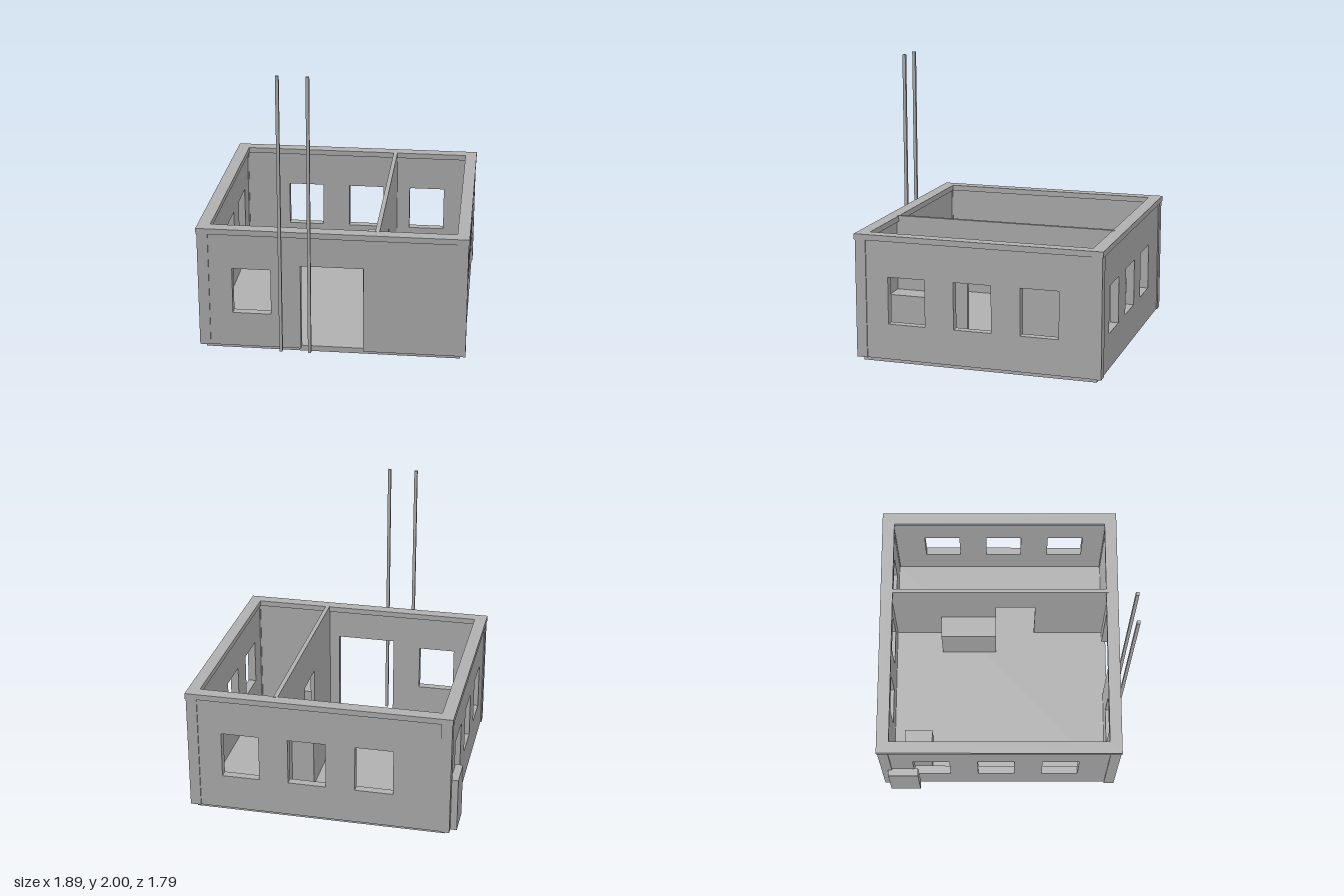
import * as THREE from 'three';

const grey = new THREE.MeshStandardMaterial({ color: 0xb0b0b0 });
grey.name = 'plain grey';

export function createModel() {
  const model = new THREE.Group();
  model.name = 'openRoofBuilding';

  const add = (name, geometry) => {
    const mesh = new THREE.Mesh(geometry, grey);
    mesh.name = name;
    model.add(mesh);
  };

  // Box given by its limits on each axis
  const box = (name, x0, x1, y0, y1, z0, z1) => {
    const g = new THREE.BoxGeometry(x1 - x0, y1 - y0, z1 - z0);
    add(name, g.translate((x0 + x1) / 2, (y0 + y1) / 2, (z0 + z1) / 2));
  };

  const rect = (Type, x0, x1, y0, y1) => new Type().moveTo(x0, y0) &&
    new Type([[x0, y0], [x1, y0], [x1, y1], [x0, y1]].map(p => new THREE.Vector2(...p)));

  // Upright panel along u, with window openings and an optional doorway [u0, u1, top]
  const panel = (u0, u1, y0, y1, depth, windows, door) => {
    const pts = [[u0, y0]];
    if (door) pts.push([door[0], y0], [door[0], door[2]], [door[1], door[2]], [door[1], y0]);
    pts.push([u1, y0], [u1, y1], [u0, y1]);
    const shape = new THREE.Shape(pts.map(p => new THREE.Vector2(...p)));
    for (const w of windows) shape.holes.push(rect(THREE.Path, w, w + 0.265, 0.28, 0.61));
    return new THREE.ExtrudeGeometry(shape, { depth, bevelEnabled: false });
  };
  const alongX = (name, z, ...args) => add(name, panel(...args).translate(0, 0, z));
  // After turning, u runs along -z and depth along +x
  const alongZ = (name, x, ...args) => add(name, panel(...args).rotateY(Math.PI / 2).translate(x, 0, 0));

  const X0 = -0.9, X1 = 0.938, Z0 = -0.888, Z1 = 0.842;
  const POST = 0.075, INSET = 0.008, T = 0.059;
  const bottom = 0.03, top = 0.86;

  // Floor slab
  box('floor', -0.862, 0.9, 0, 0.04, -0.85, 0.805);

  // Corner posts
  for (const x of [X0, X1 - POST])
    for (const z of [Z0, Z1 - POST]) box('cornerPost', x, x + POST, bottom, top, z, z + POST);

  // Outer walls, set back between the posts
  const a = X0 + POST, b = X1 - POST, c = -(Z1 - POST), d = -(Z0 + POST);
  alongX('frontWall', Z1 - INSET - T, a, b, bottom, top, T, [-0.665], [-0.195, 0.235, 0.65]);
  alongX('backWall', Z0 + INSET, a, b, bottom, top, T, [-0.505, -0.035, 0.435]);
  alongZ('leftWall', X1 - INSET - T, c, d, bottom, top, T, [-0.61, -0.14, 0.33]);
  alongZ('rightWall', X0 + INSET, c, d, bottom, top, T, [-0.555, -0.085, 0.385]);

  // Cap ring on top of the walls
  const ring = rect(THREE.Shape, -0.905, 0.943, -0.847, 0.894);
  ring.holes.push(rect(THREE.Path, -0.818, 0.859, -0.76, 0.806));
  add('wallCap', new THREE.ExtrudeGeometry(ring, { depth: 0.04, bevelEnabled: false })
    .rotateX(-Math.PI / 2).translate(0, top, 0));

  // Inner partition with doorway
  alongZ('partition', 0.308, -0.775, 0.82, 0.04, 0.902, 0.03, [], [-0.245, 0.05, 0.597]);

  // Blocks inside and out
  box('tallCabinet', 0.147, 0.306, 0.04, 0.4, -0.465, -0.05);
  box('sideCabinet', 0.338, 0.495, 0.04, 0.36, 0.36, 0.775);
  box('lowTable', -0.775, -0.54, 0.04, 0.225, -0.735, -0.53);
  box('outsideUnit', -0.945, -0.89, 0.03, 0.418, -0.84, -0.62);

  // Tall poles before the front wall
  for (const x of [-0.326, -0.128]) box('pole', x - 0.011, x + 0.011, 0.03, 2, 0.871, 0.893);

  return model;
}
